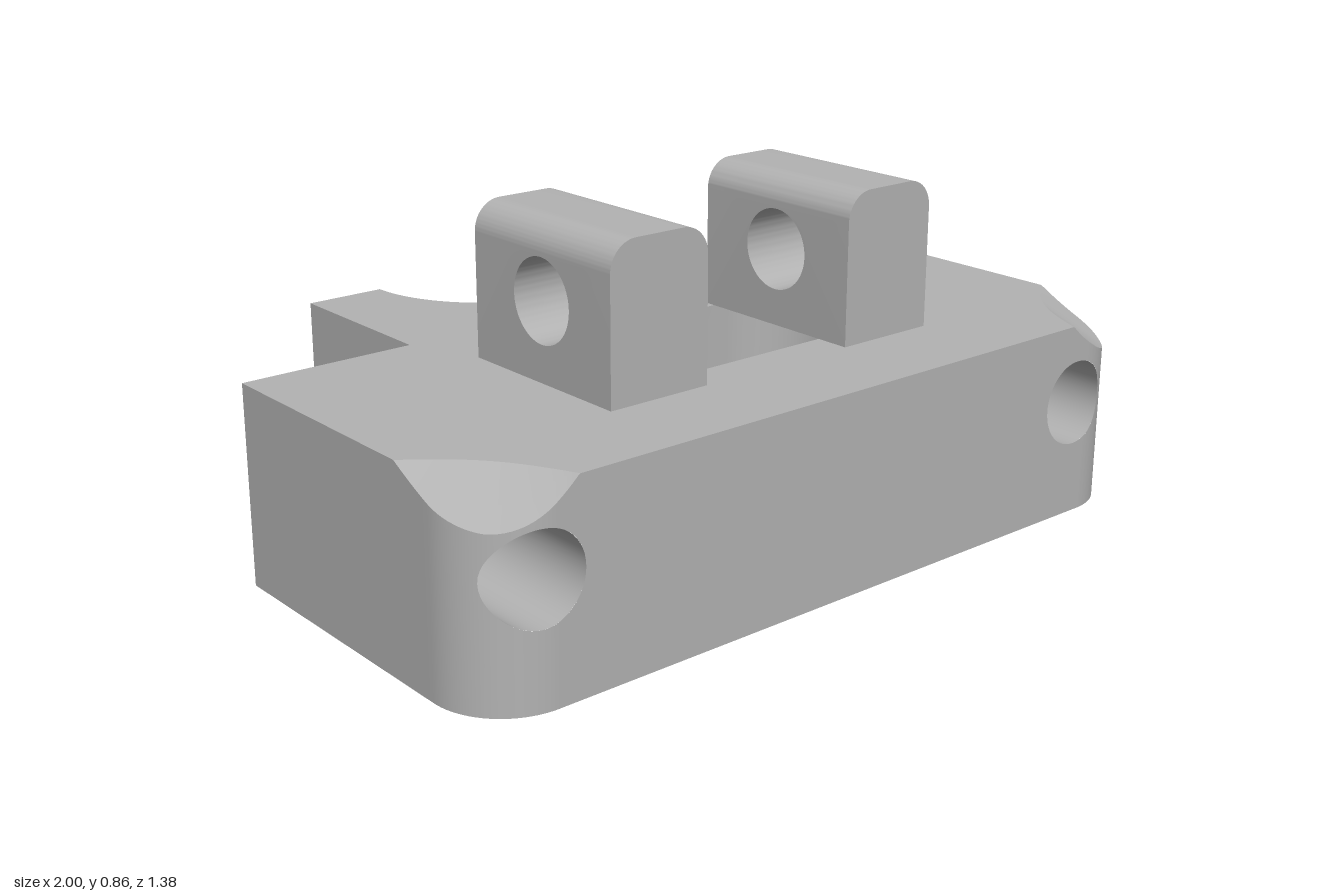
import * as THREE from 'three';
import { mergeGeometries, toCreasedNormals } from 'three/addons/utils/BufferGeometryUtils.js';

const H = 0.49, BACK = -0.23, FRONT = 0.685, R = 0.18; // body height, ends, corner radius
const HOLES = [-0.855, 0.785], HOLE_Y = 0.29, HOLE_R = 0.107;
const ARC = R * Math.PI / 4, CUT_FRONT = 0.2, CUT_SIDE = 0.256; // corner cut reach from mid-corner
const V = (x, y, z) => new THREE.Vector3(x, y, z);

// Quads between two polylines, skipping empty triangles
function strip(a, b) {
  const pos = [], tri = new THREE.Triangle();
  const add = (p, q, r) => {
    if (tri.set(p, q, r).getArea() > 1e-8) [p, q, r].forEach(v => pos.push(v.x, v.y, v.z));
  };
  for (let i = 0; i < a.length - 1; i++) {
    add(a[i], a[i + 1], b[i + 1]);
    add(a[i], b[i + 1], b[i]);
  }
  return new THREE.BufferGeometry().setAttribute('position', new THREE.Float32BufferAttribute(pos, 3));
}

// Position only, ready for merging
function bare(g) {
  const out = g.index ? g.toNonIndexed() : g;
  out.deleteAttribute('uv');
  out.deleteAttribute('normal');
  return out;
}

function mesh(name, geometries, material) {
  const m = new THREE.Mesh(toCreasedNormals(mergeGeometries(geometries.map(bare)), 0.5), material);
  m.name = name;
  return m;
}

// Wall path from back left, round the front, to back right; d = distance from mid-corner
function wallPath() {
  const xs = [-(1 - R - 0.06), 1 - R - 0.06];
  for (let i = 0; i < 24; i++) {
    const x = 1 - R + R * Math.sin(i / 24 * Math.PI / 2);
    xs.push(x, -x);
  }
  for (let i = 1; i <= 6; i++) xs.push(1 - R - i * 0.009, -(1 - R - i * 0.009));
  for (const c of HOLES) for (let i = 0; i <= 24; i++) xs.push(c + HOLE_R * Math.cos(i / 24 * Math.PI));
  xs.sort((p, q) => p - q);
  const front = xs.filter((x, i) => i === 0 || x - xs[i - 1] > 1e-6).map(x => {
    const e = Math.abs(x) - (1 - R);
    if (e <= 0) return { x, z: FRONT, d: -ARC + e };
    return { x, z: FRONT - R + Math.sqrt(R * R - e * e), d: Math.asin(e / R) * R - ARC };
  });
  const zs = [BACK];
  for (let i = 0; i <= 8; i++) zs.push(FRONT - R - (CUT_SIDE - ARC) * (1 - i / 8));
  const side = s => zs.map(z => ({ x: s, z, d: ARC + FRONT - R - z }));
  return [...side(-1), ...front, ...side(1).reverse()];
}

// Height of the wall under the scooped corner
function wallTop({ d }) {
  const t = d < 0 ? -d / CUT_FRONT : d / CUT_SIDE;
  return t >= 1 ? H : 0.395 + (H - 0.395) * Math.pow(t, d < 0 ? 2 : 1.5);
}

// Point on the edge of the flat top
function topEdge(p) {
  const u = (p.d + CUT_FRONT) / (CUT_FRONT + CUT_SIDE);
  if (u <= 0 || u >= 1) return V(p.x, H, p.z);
  const bow = 0.022 * Math.sin(u * Math.PI);
  const x = 1 - R - 0.06 + u * (R + 0.06) - bow;
  const z = FRONT + u * (FRONT - R - (CUT_SIDE - ARC) - FRONT) - bow;
  return V(Math.sign(p.x) * x, H, z);
}

function bodyGeometries() {
  const path = wallPath();
  const holeHalf = x => HOLES.reduce((s, c) => s + Math.sqrt(Math.max(0, HOLE_R ** 2 - (x - c) ** 2)), 0);
  const row = f => path.map(p => V(p.x, f(p), p.z));
  const flank = p => Math.abs(p.x) === 1 ? 0 : holeHalf(p.x);
  const bottom = row(() => 0), top = row(wallTop), edge = path.map(topEdge);
  const parts = [
    strip(bottom, row(p => HOLE_Y - flank(p))),
    strip(row(p => HOLE_Y + flank(p)), top),
    strip(top, edge), // scooped corners
  ];

  // Screw holes from front to back
  const zAt = x => {
    const e = Math.max(0, Math.abs(x) - (1 - R));
    return FRONT - R + Math.sqrt(R * R - e * e);
  };
  for (const c of HOLES) {
    const a = [], b = [];
    for (let i = 0; i <= 48; i++) {
      const t = i / 48 * Math.PI * 2, x = c + HOLE_R * Math.cos(t), y = HOLE_Y + HOLE_R * Math.sin(t);
      a.push(V(x, y, zAt(x)));
      b.push(V(x, y, BACK));
    }
    parts.push(strip(a, b));
  }

  // Back walls either side of the rear bracket
  [[-1, -0.56], [0.46, 1]].forEach(([x0, x1], i) => {
    const s = new THREE.Shape([[-x0, 0], [-x1, 0], [-x1, H], [-x0, H]].map(p => new THREE.Vector2(...p)));
    s.holes.push(new THREE.Path().absarc(-HOLES[i], HOLE_Y, HOLE_R, 0, Math.PI * 2));
    parts.push(new THREE.ShapeGeometry(s, 48).rotateY(Math.PI).translate(0, 0, BACK));
  });

  // Long slot through the body
  const slot = [];
  for (let i = 0; i <= 48; i++) {
    const t = -Math.PI / 2 + (i % 25 + (i > 24 ? 25 : 0)) / 24 * Math.PI - (i > 24 ? Math.PI / 24 : 0);
    slot.push(V((i <= 24 ? 0.255 : -0.255) + 0.188 * Math.cos(t), 0, 0.167 + 0.188 * Math.sin(t)));
  }
  const loop = [...slot, slot[0]];
  parts.push(strip(loop, loop.map(p => V(p.x, H, p.z))));

  // Top and bottom faces, with a recess that the rear bracket fills
  const recess = [[0.46, BACK], [0.46, -0.15], [-0.56, -0.15], [-0.56, BACK]].map(p => V(p[0], 0, p[1]));
  for (const [ring, s] of [[edge, -1], [bottom, 1]]) {
    const flat = list => list.map(p => new THREE.Vector2(p.x, s * p.z));
    const shape = new THREE.Shape(flat([...ring, ...recess]));
    shape.holes.push(new THREE.Path(flat(slot)));
    parts.push(new THREE.ShapeGeometry(shape).rotateX(s * Math.PI / 2).translate(0, s < 0 ? H : 0, 0));
  }
  return parts;
}

// One layer of the rear bracket with its half-round bore
function bracketLayer(radius, y0, y1) {
  const a = radius > 0.46 ? -Math.acos(0.46 / radius) : 0;
  const s = new THREE.Shape();
  s.moveTo(-0.56, 0.15).lineTo(0.46, 0.15).lineTo(0.46, 0.69 + radius * Math.sin(a));
  s.absarc(0, 0.69, radius, a, -Math.PI, true).lineTo(-0.56, 0.69);
  return new THREE.ExtrudeGeometry(s, { depth: y1 - y0, bevelEnabled: false, curveSegments: 48 })
    .rotateX(-Math.PI / 2).translate(0, y0, 0);
}

// Upright lug: drilled block below, rounded cap above
function lugGeometries(x0) {
  const w = 0.272, z0 = -0.047, z1 = 0.443, y1 = 0.79, r = 0.07;
  const block = new THREE.Shape();
  block.moveTo(-z1, H).lineTo(-z0, H).lineTo(-z0, y1).lineTo(-z1, y1);
  block.holes.push(new THREE.Path().absarc(-0.2, 0.68, 0.1, 0, Math.PI * 2));
  const cap = new THREE.Shape();
  cap.moveTo(0, y1).lineTo(w, y1).absarc(w - r, y1, r, 0, Math.PI / 2);
  cap.absarc(r, y1, r, Math.PI / 2, Math.PI);
  return [
    new THREE.ExtrudeGeometry(block, { depth: w, bevelEnabled: false, curveSegments: 48 })
      .rotateY(Math.PI / 2).translate(x0, 0, 0),
    new THREE.ExtrudeGeometry(cap, { depth: z1 - z0, bevelEnabled: false, curveSegments: 12 })
      .translate(x0, 0, z0),
  ];
}

export function createModel() {
  const grey = new THREE.MeshStandardMaterial({ color: 0xb2b2b2 });
  grey.name = 'plain grey';
  const model = new THREE.Group();
  model.name = 'mountingBlock';
  model.add(
    mesh('body', bodyGeometries(), grey),
    mesh('rearBracketLower', [bracketLayer(0.463, 0, 0.25)], grey),
    mesh('rearBracketUpper', [bracketLayer(0.354, 0.25, H)], grey),
    mesh('boreKey', [new THREE.BoxGeometry(0.075, 0.25, 0.06).translate(-0.005, 0.125, -0.23)], grey),
    mesh('rightLug', lugGeometries(-0.49), grey),
    mesh('leftLug', lugGeometries(0.215), grey),
  );
  return model;
}
